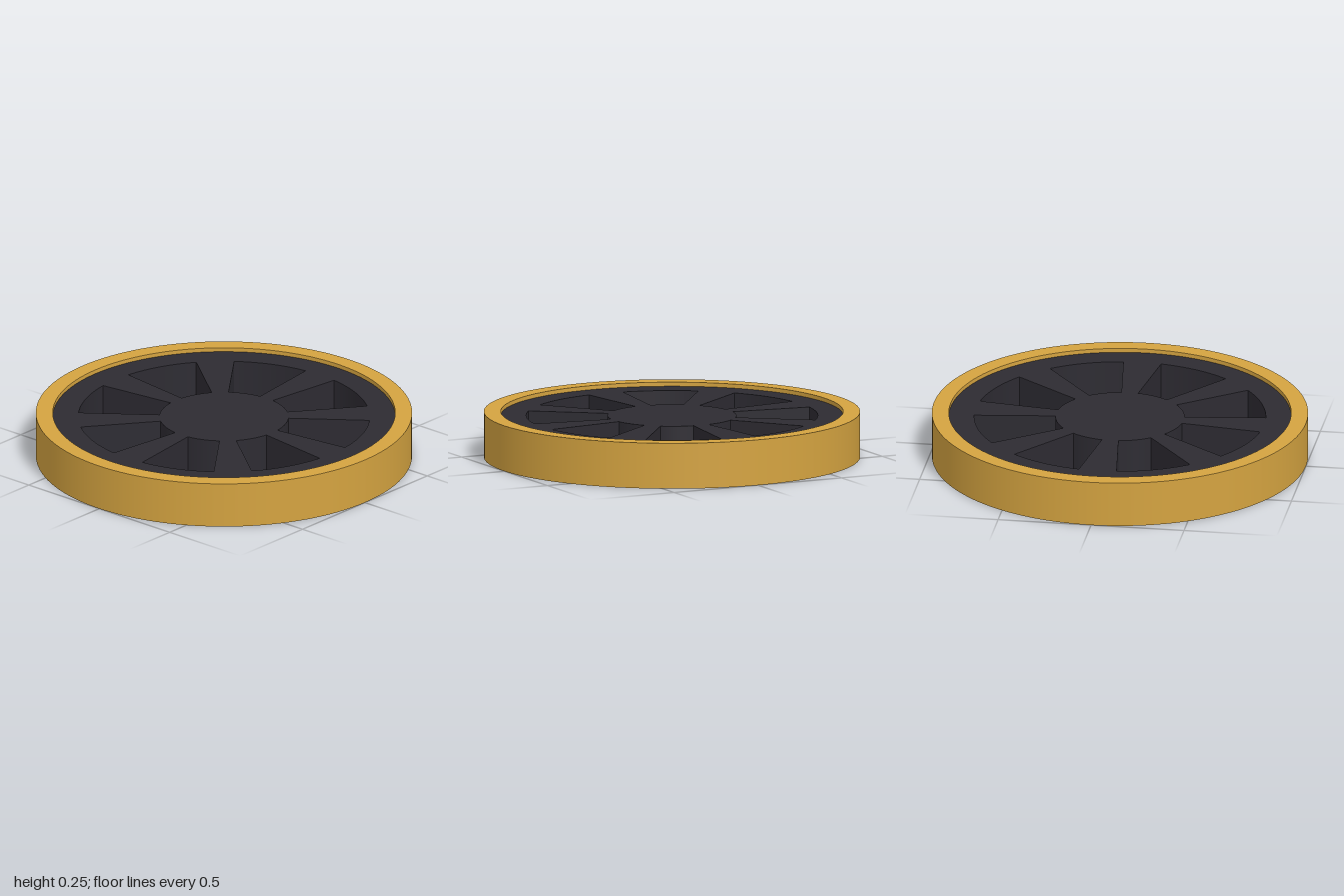
import * as THREE from 'three';

const HEIGHT = 0.245, RECESS = 0.022;
const RIM_OUTER = 1, RIM_INNER = 0.91;
const HUB_RADIUS = 0.343, WINDOW_RADIUS = 0.775;
const SPOKES = 8, SPOKE_HALF_ANGLE = Math.PI / 24;

// Flat plate lying on the ground plane, raised to a given base height
function plate(name, shape, base, depth, material) {
  const geometry = new THREE.ExtrudeGeometry(shape, { depth, bevelEnabled: false, curveSegments: 64 });
  geometry.rotateX(-Math.PI / 2).translate(0, base, 0);
  const mesh = new THREE.Mesh(geometry, material);
  mesh.name = name;
  return mesh;
}

// Ring-sector opening between two neighbouring spokes
function windowHole(start, end) {
  const path = new THREE.Path();
  const arc = (r, from, to) => {
    for (let i = 0; i <= 16; i++) {
      const a = from + (to - from) * i / 16;
      const x = r * Math.cos(a), y = r * Math.sin(a);
      if (path.curves.length || i) path.lineTo(x, y);
      else path.moveTo(x, y);
    }
  };
  arc(WINDOW_RADIUS, start, end);
  arc(HUB_RADIUS, end, start);
  path.closePath();
  return path;
}

export function createModel() {
  const group = new THREE.Group();
  group.name = 'spokedWheel';
  const gold = new THREE.MeshStandardMaterial({ color: 0xd4a340 });
  const dark = new THREE.MeshStandardMaterial({ color: 0x2d2b32 });

  // Outer rim: a rectangular section turned around the axle; doubled corners keep the edges sharp
  const corners = [[RIM_INNER, 0], [RIM_OUTER, 0], [RIM_OUTER, HEIGHT], [RIM_INNER, HEIGHT]]
    .map(([r, y]) => new THREE.Vector2(r, y));
  const rim = new THREE.Group();
  rim.name = 'rim';
  ['rimBottom', 'rimOuterWall', 'rimTop', 'rimInnerWall'].forEach((name, i) => {
    const side = new THREE.Mesh(new THREE.LatheGeometry([corners[i], corners[(i + 1) % 4]], 128), gold);
    side.name = name;
    rim.add(side);
  });
  group.add(rim);

  // Recessed wheel centre: hub, tapering spokes and inner ring in one plate
  const disc = new THREE.Shape().absarc(0, 0, RIM_INNER + 0.002, 0, Math.PI * 2);
  const step = Math.PI * 2 / SPOKES;
  for (let i = 0; i < SPOKES; i++) {
    disc.holes.push(windowHole(i * step + SPOKE_HALF_ANGLE, (i + 1) * step - SPOKE_HALF_ANGLE));
  }
  group.add(plate('hubAndSpokes', disc, RECESS, HEIGHT - 2 * RECESS, dark));

  return group;
}
